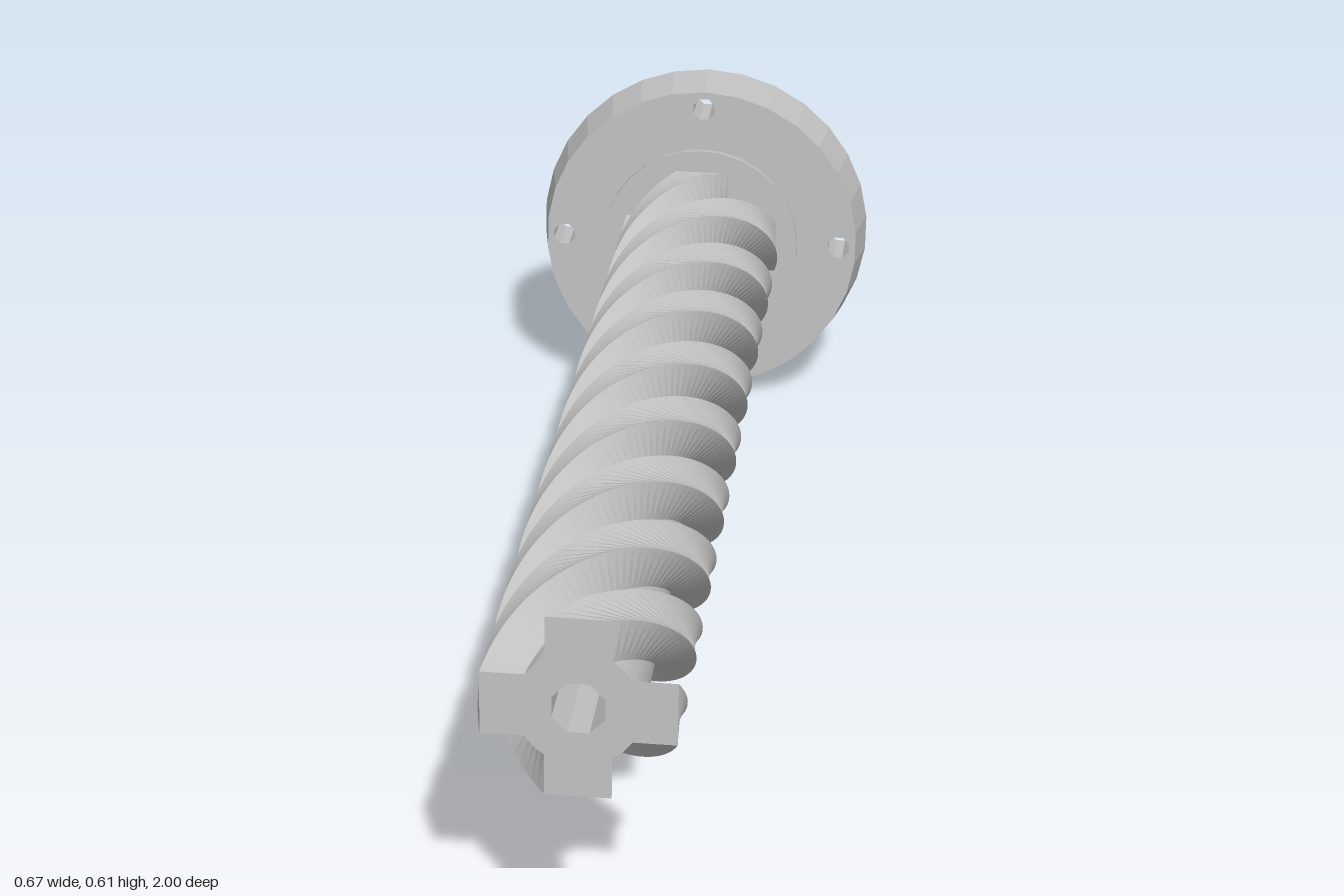
import * as THREE from 'three';

const SHAFT_START = 0.104;
const SHAFT_LENGTH = 1.858;

// Polygonal outline or hole of n sides
function ring(n, radius, cx = 0, cy = 0, PathType = THREE.Path) {
  const points = [];
  for (let i = 0; i < n; i++) {
    const a = (i / n) * Math.PI * 2 + Math.PI / n;
    points.push(new THREE.Vector2(cx + Math.cos(a) * radius, cy + Math.sin(a) * radius));
  }
  return new PathType(points);
}

function extrude(shape, depth, steps = 1) {
  return new THREE.ExtrudeGeometry(shape, { depth, steps, bevelEnabled: false });
}

// Move every vertex by a rule, then refresh the normals
function reshape(geometry, rule) {
  const p = geometry.attributes.position;
  const v = new THREE.Vector3();
  for (let i = 0; i < p.count; i++) {
    rule(v.fromBufferAttribute(p, i));
    p.setXYZ(i, v.x, v.y, v.z);
  }
  geometry.computeVertexNormals();
  return geometry;
}

export function createModel() {
  const model = new THREE.Group();
  model.name = 'twistedShaftWithFlange';
  const metal = new THREE.MeshStandardMaterial({ color: 0xc0c0c0 });
  metal.name = 'grey metal';
  metal.flatShading = true;

  const add = (name, geometry, z) => {
    const mesh = new THREE.Mesh(geometry, metal);
    mesh.name = name;
    mesh.position.z = z;
    model.add(mesh);
  };

  // Mounting flange: tapered rim, four bolt holes and a counterbore
  const disc = ring(30, 0.305, 0, 0, THREE.Shape);
  disc.holes.push(ring(20, 0.075));
  for (let k = 0; k < 4; k++) {
    const a = (k * Math.PI) / 2;
    disc.holes.push(ring(8, 0.021, Math.cos(a) * 0.257, Math.sin(a) * 0.257));
  }
  add('flange', reshape(extrude(disc, 0.092), (v) => {
    if (v.z > 0.05 && Math.hypot(v.x, v.y) > 0.29) {
      v.x *= 0.95;
      v.y *= 0.95;
    }
  }), 0);

  // Raised boss, whose back is the floor of the counterbore
  const boss = ring(30, 0.18, 0, 0, THREE.Shape);
  boss.holes.push(ring(8, 0.041));
  add('boss', extrude(boss, SHAFT_START - 0.05), 0.05);

  // Four-armed shaft, twisted two full turns around a straight bore
  const quarter = [[0.139, -0.048], [0.139, 0.048], [0.076, 0.048], [0.0636, 0.0636]];
  const outline = [];
  for (let k = 0; k < 4; k++) {
    for (const [x, y] of quarter) {
      outline.push(new THREE.Vector2(x, y).rotateAround(new THREE.Vector2(), (k * Math.PI) / 2));
    }
    // inner corner leading into the next arm
    outline.push(new THREE.Vector2(0.048, 0.076).rotateAround(new THREE.Vector2(), (k * Math.PI) / 2));
  }
  const cross = new THREE.Shape(outline);
  cross.holes.push(ring(8, 0.041));
  const axis = new THREE.Vector3(0, 0, 1);
  add('twistedShaft', reshape(extrude(cross, SHAFT_LENGTH, 160), (v) => {
    if (Math.hypot(v.x, v.y) > 0.06) v.applyAxisAngle(axis, (v.z / SHAFT_LENGTH) * Math.PI * 4);
  }), SHAFT_START);

  // Lean the whole part slightly up and to its left
  model.quaternion.setFromUnitVectors(axis, new THREE.Vector3(0.116, 0.066, 1).normalize());
  model.position.set(-0.033, 0.306, -0.965);

  const root = new THREE.Group();
  root.name = 'model';
  root.add(model);
  return root;
}
